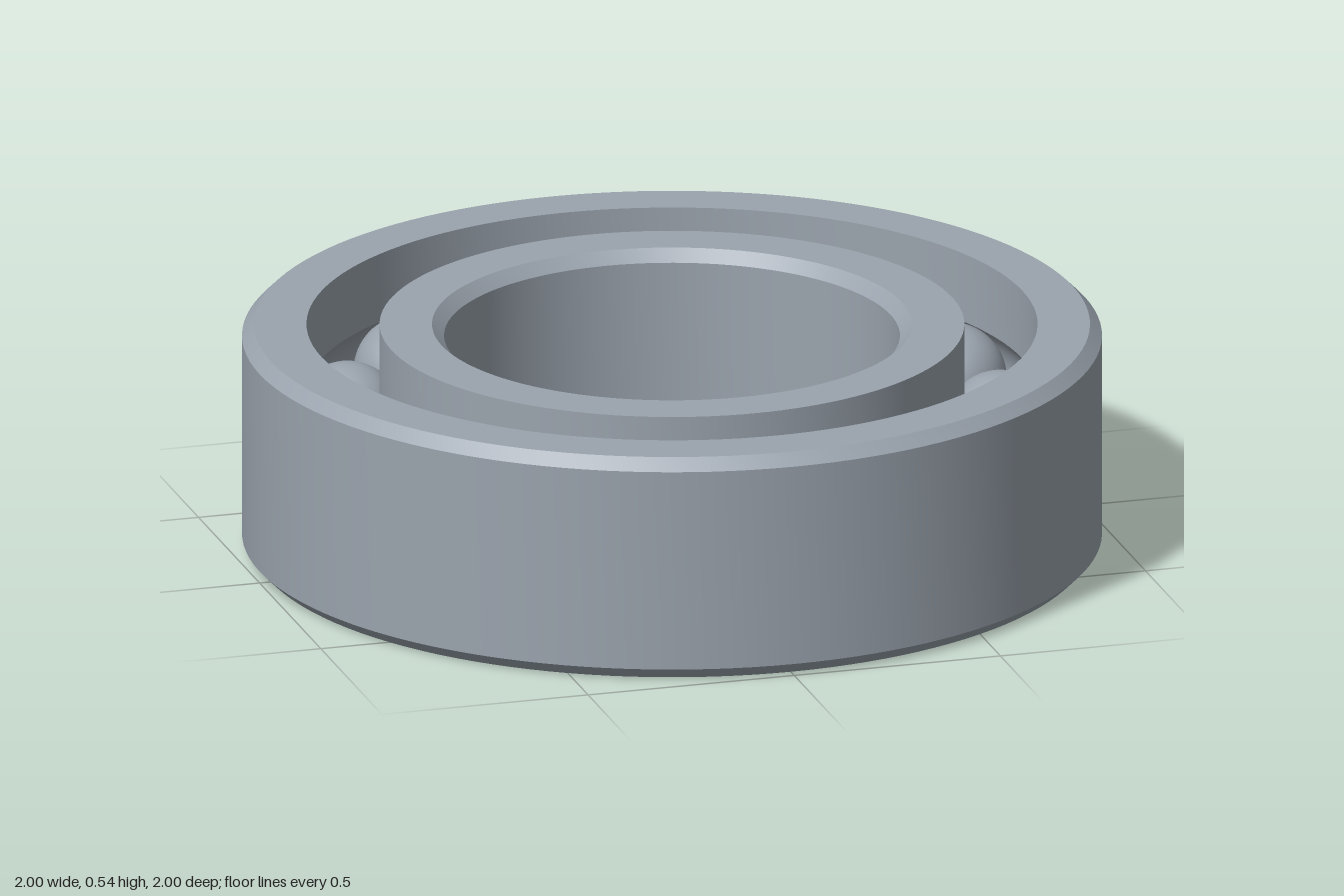
import * as THREE from 'three';
import { toCreasedNormals } from 'three/addons/utils/BufferGeometryUtils.js';

const HEIGHT = 0.54, MID = HEIGHT / 2, CHAMFER = 0.028;
const PITCH = 0.765, BALL = 0.131, GROOVE = 0.134, BALLS = 13;

// Raceway arc centred on the ball path, from one groove lip to the other
function grooveArc(wallRadius, steps = 14) {
  const offset = wallRadius - PITCH;
  const half = Math.acos(Math.abs(offset) / GROOVE);
  return Array.from({ length: steps + 1 }, (_, i) => {
    const a = half * (2 * i / steps - 1);
    return [PITCH + Math.sign(offset) * GROOVE * Math.cos(a), MID + GROOVE * Math.sin(a)];
  });
}

// Revolves a closed profile, keeping its corners crisp
function ring(name, profile, material) {
  const points = [...profile, profile[0]].map(([r, y]) => new THREE.Vector2(r, y));
  const mesh = new THREE.Mesh(toCreasedNormals(new THREE.LatheGeometry(points, 128), 0.5), material);
  mesh.name = name;
  return mesh;
}

export function createModel() {
  const steel = new THREE.MeshStandardMaterial({ color: 0x9aa3ad });
  steel.name = 'steel';
  const model = new THREE.Group();
  model.name = 'ballBearing';

  // Outer ring: chamfered outside, raceway inside
  const outerWall = 0.85;
  model.add(ring('outerRing', [
    [1 - CHAMFER, 0], [1, CHAMFER], [1, HEIGHT - CHAMFER], [1 - CHAMFER, HEIGHT],
    [outerWall, HEIGHT], ...grooveArc(outerWall).reverse(), [outerWall, 0],
  ], steel));

  // Inner ring: raceway outside, chamfered bore
  const innerWall = 0.68, bore = 0.53;
  model.add(ring('innerRing', [
    [innerWall, 0], ...grooveArc(innerWall), [innerWall, HEIGHT],
    [bore + CHAMFER, HEIGHT], [bore, HEIGHT - CHAMFER], [bore, CHAMFER], [bore + CHAMFER, 0],
  ], steel));

  // Balls evenly spaced along the raceway
  const balls = new THREE.Group();
  balls.name = 'balls';
  const ballGeometry = new THREE.SphereGeometry(BALL, 40, 28);
  const start = THREE.MathUtils.degToRad(12.1);
  for (let i = 0; i < BALLS; i++) {
    const a = start + (i / BALLS) * Math.PI * 2;
    const ball = new THREE.Mesh(ballGeometry, steel);
    ball.name = 'ball';
    ball.position.set(PITCH * Math.cos(a), MID, PITCH * Math.sin(a));
    balls.add(ball);
  }
  model.add(balls);
  return model;
}
